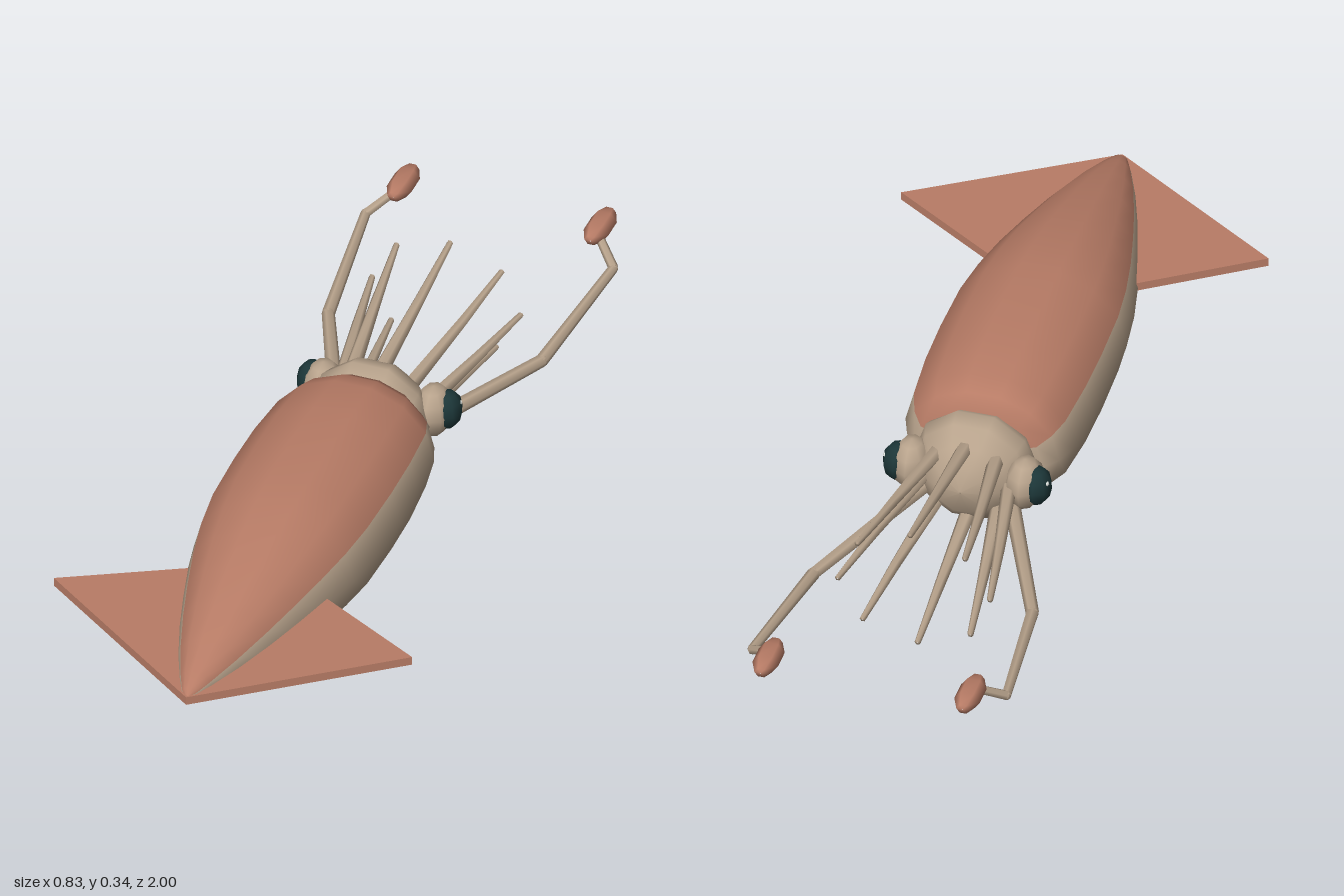
import * as THREE from 'three';

const coral = new THREE.MeshStandardMaterial({ name: 'coral skin', color: 0xb87c66 });
const beige = new THREE.MeshStandardMaterial({ name: 'beige skin', color: 0xb8a38c });
const dark = new THREE.MeshStandardMaterial({ name: 'dark eye', color: 0x1c3638 });
const white = new THREE.MeshStandardMaterial({ name: 'eye glint', color: 0xe8ece8 });

// Skin over elliptical rings [z, rx, ry, cx, cy], listed in rising z.
// Faces for which isBack(k) is true use material slot 0, the rest slot 1.
function loft(rings, sides, isBack = () => true) {
  const pos = [], back = [], belly = [];
  for (const [z, rx, ry, cx = 0, cy = 0] of rings)
    for (let k = 0; k < sides; k++) {
      const a = ((k + 0.5) / sides) * Math.PI * 2;
      pos.push(cx + rx * Math.sin(a), cy + ry * Math.cos(a), z);
    }
  for (let i = 0; i < rings.length - 1; i++)
    for (let k = 0; k < sides; k++) {
      const a = i * sides + k, b = i * sides + (k + 1) % sides;
      (isBack(k) ? back : belly).push(a, a + sides, b, b, a + sides, b + sides);
    }
  const g = new THREE.BufferGeometry();
  g.setAttribute('position', new THREE.Float32BufferAttribute(pos, 3));
  g.setIndex([...back, ...belly]);
  g.addGroup(0, back.length, 0);
  g.addGroup(back.length, belly.length, 1);
  g.computeVertexNormals();
  return g;
}

export function createModel() {
  const model = new THREE.Group();
  model.name = 'squid';
  const add = (name, geometry, material) => {
    const mesh = new THREE.Mesh(geometry, material);
    mesh.name = name;
    model.add(mesh);
    return mesh;
  };

  // Mantle: coral along the back, beige below
  const mantle = [
    [-0.1, 0.02, 0.02], [-0.105, 0.145, 0.122], [-0.07, 0.172, 0.145], [-0.02, 0.19, 0.162],
    [0.1, 0.2, 0.172], [0.22, 0.202, 0.173], [0.36, 0.198, 0.171], [0.46, 0.185, 0.16],
    [0.56, 0.164, 0.144], [0.66, 0.137, 0.121], [0.76, 0.107, 0.095], [0.86, 0.072, 0.064],
    [0.94, 0.038, 0.034], [0.98, 0.018, 0.016], [0.995, 0.001, 0.001],
  ].map(([z, rx, ry]) => [z, rx, ry, 0, 0.172 + 0.006 * Math.max(0, z)]);
  add('mantle', loft(mantle, 14, k => k < 2 || k > 10), [coral, beige]);

  // Head
  add('head', loft([
    [-0.246, 0.002, 0.002], [-0.236, 0.06, 0.06], [-0.205, 0.1, 0.095], [-0.165, 0.128, 0.126],
    [-0.13, 0.138, 0.137], [-0.1, 0.132, 0.118], [-0.06, 0.11, 0.1],
  ].map(r => [...r, 0, 0.175]), 10), beige);

  // Eight tapering arms in a ring
  for (let i = 0; i < 8; i++) {
    const a = (i / 8) * Math.PI * 2 + 0.05;
    const c = Math.cos(a), s = Math.sin(a);
    add('arm', loft([
      [-0.602, 0.001, 0.001, 0.172 * s, 0.175 + 0.144 * c],
      [-0.6, 0.007, 0.007, 0.172 * s, 0.175 + 0.144 * c],
      [-0.42, 0.012, 0.012, 0.14 * s, 0.175 + 0.115 * c],
      [-0.19, 0.018, 0.018, 0.095 * s, 0.175 + 0.082 * c],
    ], 6), beige);
  }

  for (const side of [1, -1]) {
    const name = side > 0 ? 'left' : 'right';

    // Long feeding tentacle with a club at its end
    const path = [[0.1, 0.13, -0.19], [0.247, 0.112, -0.53], [0.287, 0.143, -0.865], [0.232, 0.187, -0.915]]
      .map(([x, y, z]) => new THREE.Vector3(side * x, y, z));
    const radii = [0.018, 0.0145, 0.011, 0.01];
    for (let i = 0; i < 3; i++) {
      const dir = path[i + 1].clone().sub(path[i]);
      const m = add(name + 'Tentacle',
        new THREE.CylinderGeometry(radii[i + 1], radii[i], dir.length(), 6), beige);
      m.position.copy(path[i]).addScaledVector(dir, 0.5);
      m.quaternion.setFromUnitVectors(new THREE.Vector3(0, 1, 0), dir.normalize());
      if (i) {
        add(name + 'TentacleJoint', new THREE.SphereGeometry(radii[i], 6, 4), beige)
          .position.copy(path[i]);
      }
    }
    add(name + 'Club', loft([
      [-1, 0.001, 0.001], [-0.998, 0.015, 0.012], [-0.965, 0.029, 0.023], [-0.915, 0.029, 0.023],
      [-0.882, 0.015, 0.012], [-0.88, 0.001, 0.001],
    ].map(r => [...r, side * 0.228, 0.19]), 6), coral);

    // Eye: socket, eyeball and glint
    const socket = add(name + 'EyeSocket', new THREE.SphereGeometry(1, 8, 6), beige);
    socket.scale.set(0.045, 0.062, 0.056);
    socket.position.set(side * 0.128, 0.187, -0.182);
    const eye = add(name + 'Eye', new THREE.SphereGeometry(1, 8, 6), dark);
    eye.scale.set(0.034, 0.046, 0.04);
    eye.position.set(side * 0.157, 0.19, -0.19);
    const glint = add(name + 'EyeGlint', new THREE.SphereGeometry(0.006, 6, 4), white);
    glint.position.set(side * 0.182, 0.207, -0.2);

    // Triangular fin, rising slightly towards its tip
    const outline = new THREE.Shape([[0, 0.462], [0.415, 0.71], [0, 0.998]]
      .map(([x, z]) => new THREE.Vector2(side * x, z)));
    const fin = new THREE.ExtrudeGeometry(outline, { depth: 0.02, bevelEnabled: false });
    fin.rotateX(Math.PI / 2);
    const p = fin.attributes.position;
    for (let i = 0; i < p.count; i++) p.setY(i, p.getY(i) + 0.182 + 0.045 * Math.abs(p.getX(i)));
    fin.computeVertexNormals();
    add(name + 'Fin', fin, coral);
  }
  return model;
}
